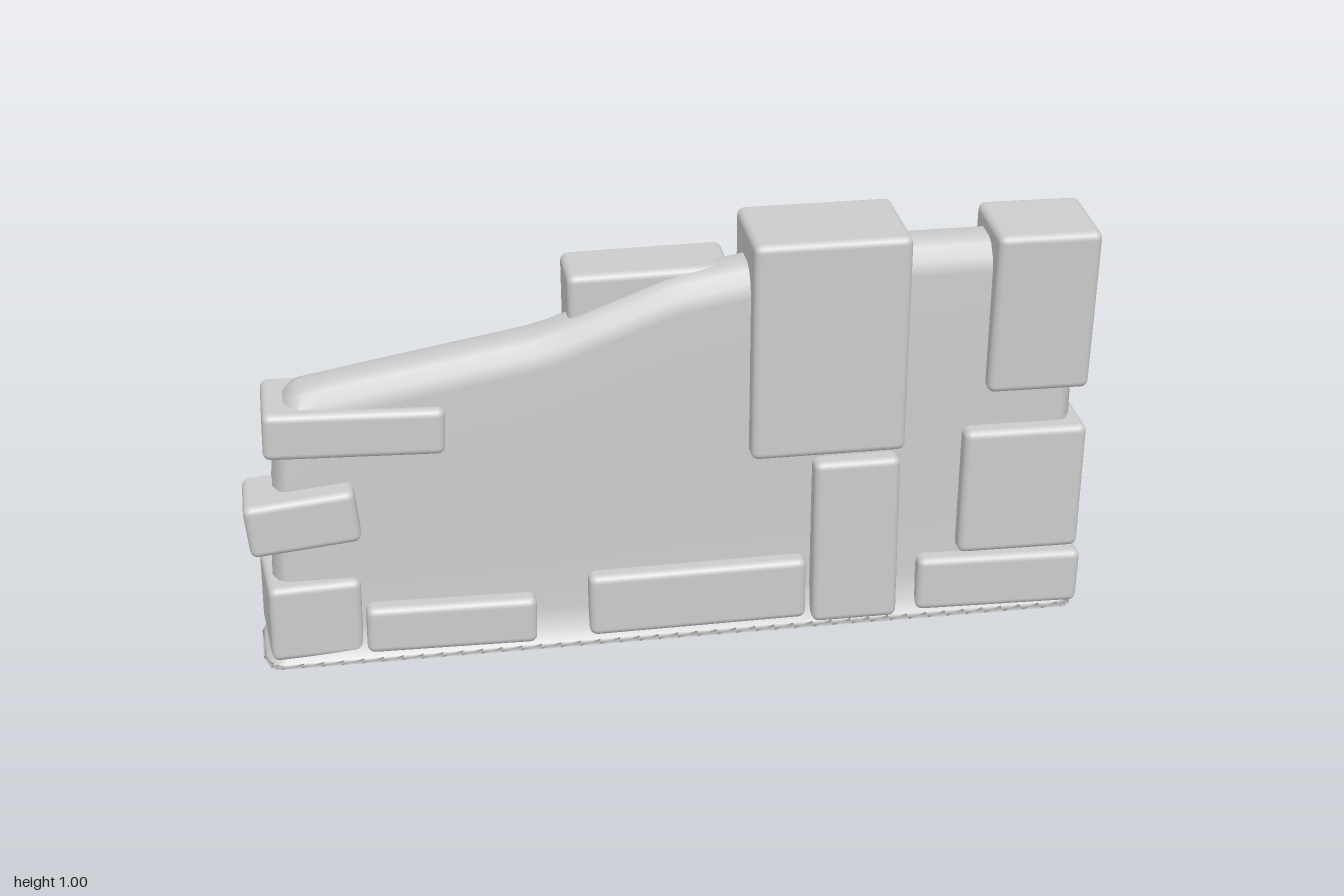
import * as THREE from 'three';
import { RoundedBoxGeometry } from 'three/addons/geometries/RoundedBoxGeometry.js';

const stoneGrey = new THREE.MeshStandardMaterial({ color: 0xcccccc });

// Broken top line of the wall: [x, height]
const crest = [[-0.98, 0.65], [-0.94, 0.655], [-0.86, 0.682], [-0.6, 0.728], [-0.3, 0.78], [-0.15, 0.836],
  [0, 0.893], [0.17, 0.923], [0.3, 0.945], [0.4, 0.952], [0.98, 0.952]];

function topAt(x) {
  for (let i = 1; i < crest.length; i++) {
    const [x0, y0] = crest[i - 1], [x1, y1] = crest[i];
    if (x <= x1) return y0 + (y1 - y0) * THREE.MathUtils.clamp((x - x0) / (x1 - x0), 0, 1);
  }
  return 0.952;
}

// Plaster core: rounded rectangular rings stacked from a flared foot to a rounded crest
function wallGeometry() {
  // [fraction of height, drop below crest, left end, right end, half thickness]
  const rows = [[0, 0, -0.9, 0.9, 0], [0, 0, -0.98, 0.98, 0.125], [0.012, 0, -0.972, 0.972, 0.116],
    [0.05, 0, -0.955, 0.957, 0.095], [0.11, 0, -0.945, 0.952, 0.084], [0.3, 0, -0.945, 0.95, 0.08],
    [0.6, 0, -0.935, 0.95, 0.08], [1, 0.07, -0.915, 0.95, 0.078], [1, 0.035, -0.9, 0.945, 0.07],
    [1, 0.01, -0.885, 0.935, 0.05], [1, 0, -0.865, 0.92, 0.028], [1, 0, -0.85, 0.91, 0]];
  const half = [];
  // Half outline in unit form: [end offset in radii, position along x, thickness factor]
  for (let i = 0; i <= 4; i++) {
    const a = (i / 4) * Math.PI / 2;
    half.push([1 - Math.sin(a), 0, 0.5 + 0.5 * (1 - Math.cos(a))]);
  }
  half.forEach((p) => { p[2] = 0.5 + 0.5 * Math.sqrt(1 - p[0] * p[0]); });
  for (let i = 1; i < 40; i++) half.push([0, i / 40, 1]);
  for (let i = 4; i >= 0; i--) half.push([-half[i][0], 1, half[i][2]]);
  const ring = [...half.map((p) => [...p, 1]), ...half.slice().reverse().map((p) => [...p, -1])];

  const pos = [], index = [], n = ring.length;
  for (const [f, drop, xl, xr, h] of rows) {
    const r = 0.04;
    for (const [end, t, w, side] of ring) {
      const x = xl + r + (xr - xl - 2 * r) * t - r * end;
      pos.push(x, f * topAt(x) - drop, h * w * side);
    }
  }
  for (let j = 0; j < rows.length - 1; j++) {
    for (let i = 0; i < n; i++) {
      const a = j * n + i, b = j * n + (i + 1) % n;
      index.push(a, b, b + n, a, b + n, a + n);
    }
  }
  const g = new THREE.BufferGeometry();
  g.setAttribute('position', new THREE.Float32BufferAttribute(pos, 3));
  g.setIndex(index);
  g.computeVertexNormals();
  return g;
}

// Exposed stones: name, centre, size, rotation, taper in depth towards the top
const stones = [
  ['upperPierStone', [0.354, 0.73, 0], [0.364, 0.54, 0.25], [0, 0, 0], 0],
  ['rightUpperStone', [0.854, 0.788, 0.012], [0.242, 0.4, 0.214], [0.035, 0, -0.01], 0],
  ['rightMiddleStone', [0.827, 0.328, 0], [0.294, 0.325, 0.242], [0, 0, -0.01], 0],
  ['rightFootStone', [0.782, 0.083, 0.003], [0.4, 0.14, 0.236], [0, 0, -0.022], 0],
  ['lowerPierStone', [0.426, 0.228, 0], [0.205, 0.422, 0.276], [0, 0, 0], 0.12],
  ['middleFootStone', [0.05, 0.1, 0.002], [0.52, 0.16, 0.236], [0, 0, 0.008], 0],
  ['leftFootStone', [-0.535, 0.077, 0.004], [0.4, 0.12, 0.236], [0, 0, -0.015], 0],
  ['leftCornerStone', [-0.858, 0.112, 0], [0.215, 0.195, 0.22], [0, 0.08, -0.01], 0],
  ['leftMiddleStone', [-0.868, 0.383, 0.053], [0.255, 0.132, 0.165], [0, 0, 0.1], 0],
  ['leftUpperStone', [-0.738, 0.586, -0.004], [0.412, 0.115, 0.21], [0, 0, -0.035], 0],
  ['backCrestStone', [-0.05, 0.815, -0.06], [0.376, 0.19, 0.158], [0, 0, 0.01], 0],
];

function stone([name, centre, size, turn, taper]) {
  const g = new RoundedBoxGeometry(...size, 3, 0.018);
  const p = g.attributes.position;
  for (let i = 0; i < p.count; i++) {
    p.setZ(i, p.getZ(i) * (1 - taper * (p.getY(i) / size[1] + 0.5)));
  }
  const mesh = new THREE.Mesh(g, stoneGrey);
  mesh.name = name;
  mesh.position.set(...centre);
  mesh.rotation.set(...turn);
  return mesh;
}

export function createModel() {
  const model = new THREE.Group();
  model.name = 'ruinedWall';
  const wall = new THREE.Mesh(wallGeometry(), stoneGrey);
  wall.name = 'wallCore';
  model.add(wall, ...stones.map(stone));
  return model;
}
